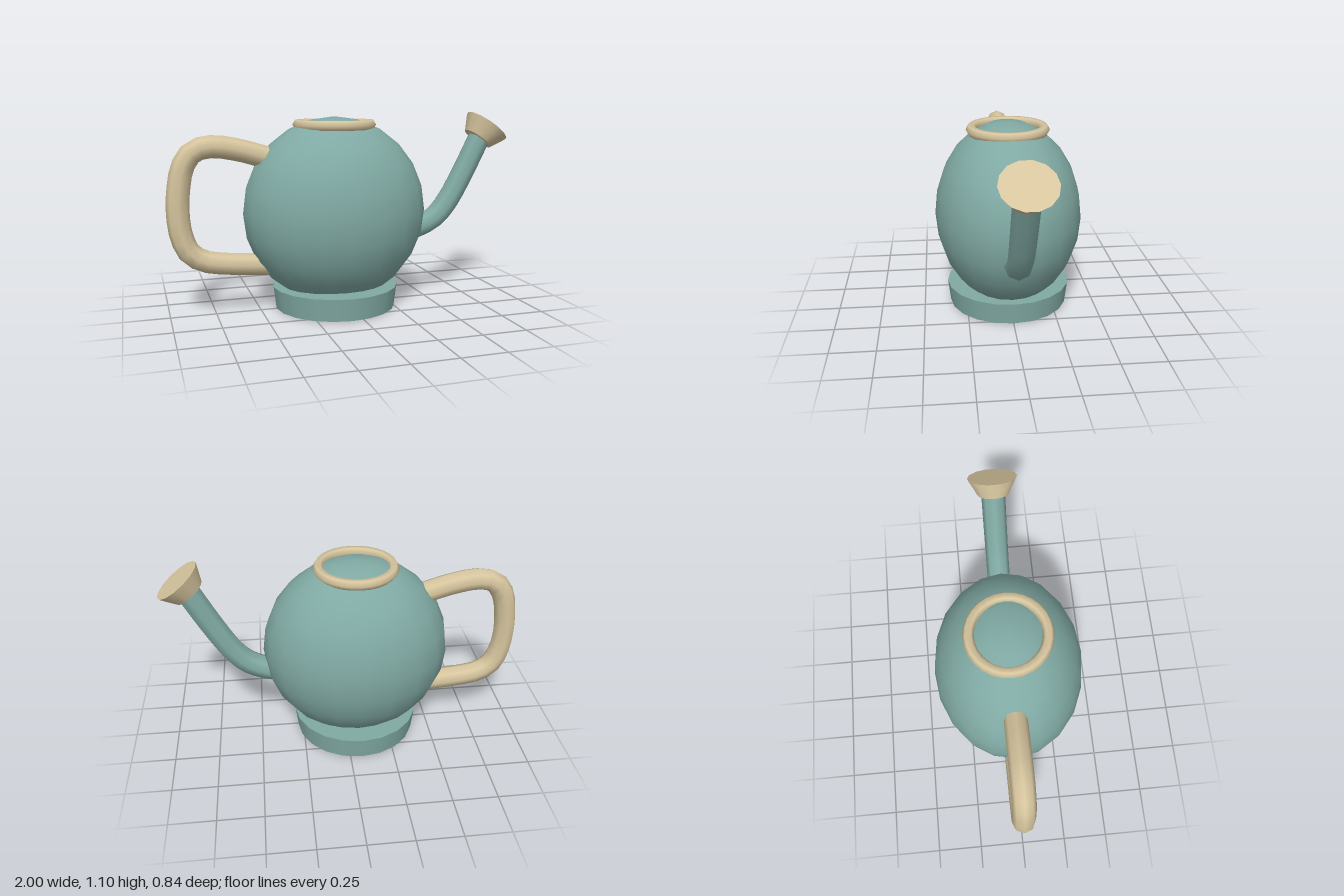
import * as THREE from 'three';

export function createModel() {
  const group = new THREE.Group();
  const teal = new THREE.MeshStandardMaterial({ color: 0x80a9a3, side: THREE.DoubleSide });
  teal.name = 'teal';
  const tan = new THREE.MeshStandardMaterial({ color: 0xd6c59e, side: THREE.DoubleSide });
  tan.name = 'tan';
  const cx = -0.065; // axis of the pot

  const add = (name, geometry, material, x = 0, y = 0) => {
    const mesh = new THREE.Mesh(geometry, material);
    mesh.name = name;
    mesh.position.set(x, y, 0);
    group.add(mesh);
    return mesh;
  };
  // Smooth tube through points in the z = 0 plane
  const tube = (points, segments, radius) => new THREE.TubeGeometry(
    new THREE.CatmullRomCurve3(points.map(([x, y]) => new THREE.Vector3(x, y, 0))),
    segments, radius, 8);

  // Pot: ellipsoid body on a flared foot
  const body = new THREE.SphereGeometry(1, 20, 12).scale(0.525, 0.53, 0.42);
  add('body', body, teal, cx, 0.555);
  add('foot', new THREE.CylinderGeometry(0.36, 0.345, 0.126, 20), teal, cx, 0.063);

  // Filling hole rim
  const rim = new THREE.TorusGeometry(0.205, 0.03, 6, 28).rotateX(Math.PI / 2);
  add('rim', rim, tan, cx, 1.04);

  // Handle on the right side
  add('handle', tube([
    [-0.455, 0.865], [-0.62, 0.912], [-0.76, 0.93], [-0.85, 0.905], [-0.905, 0.83],
    [-0.93, 0.72], [-0.94, 0.6], [-0.927, 0.46], [-0.887, 0.36], [-0.82, 0.31],
    [-0.73, 0.288], [-0.42, 0.26],
  ], 24, 0.062), tan);

  // Curved spout with a flared sprinkler head
  add('spout', tube([
    [0.41, 0.42], [0.48, 0.44], [0.565, 0.488], [0.64, 0.575], [0.725, 0.72], [0.84, 0.945],
  ], 14, 0.068), teal);
  const head = add('sprinklerHead', new THREE.CylinderGeometry(0.14, 0.09, 0.096, 14), tan, 0.861, 0.98);
  head.rotation.z = -0.65;

  return group;
}
